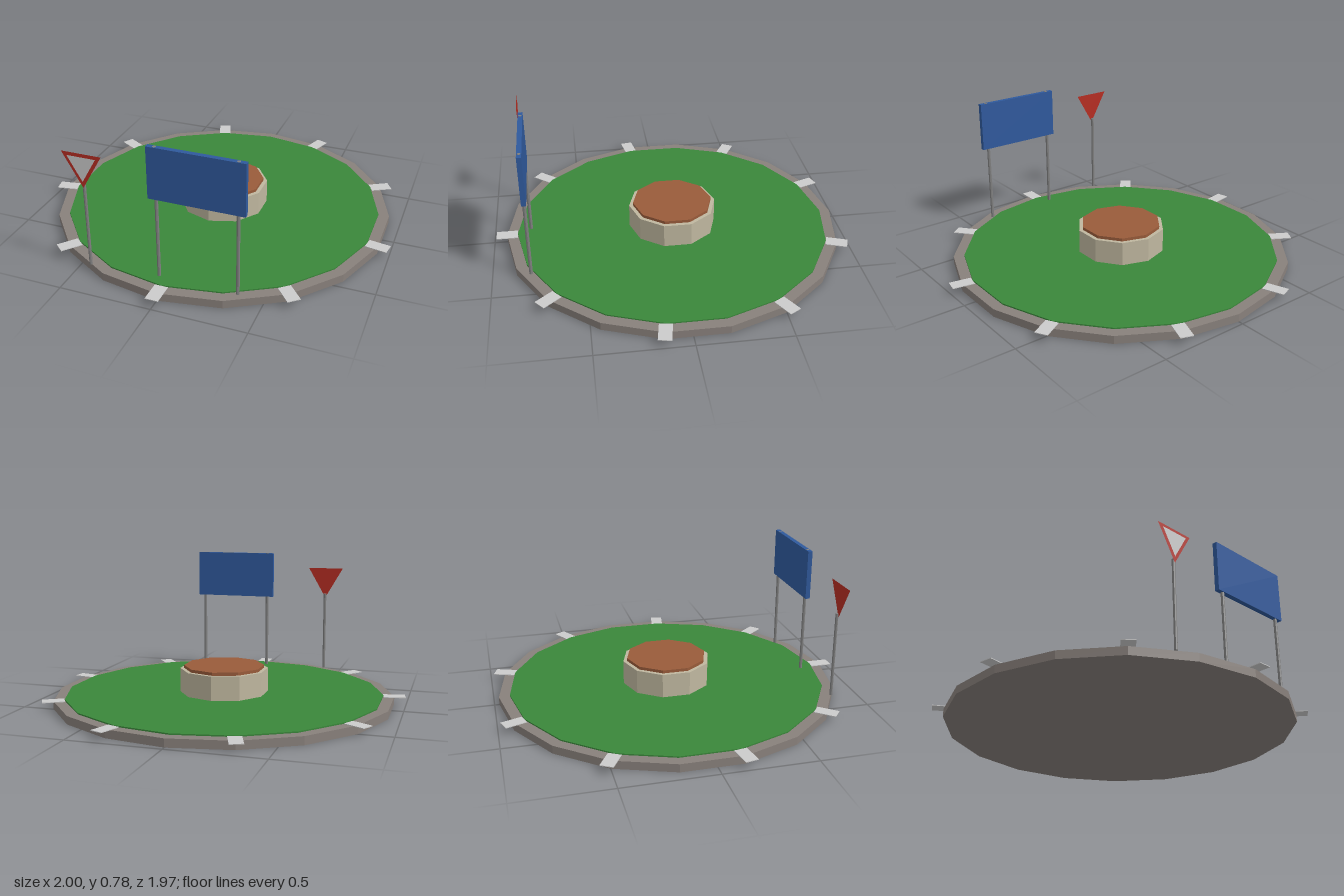
import * as THREE from 'three';

const paint = (name, color, extra = {}) => {
  const m = new THREE.MeshStandardMaterial({ color, flatShading: true, ...extra });
  m.name = name;
  return m;
};

export function createModel() {
  const mats = {
    kerb: paint('kerb stone', 0x88807b),
    grass: paint('grass green', 0x3a873a),
    stone: paint('planter stone', 0xbfb79f),
    soil: paint('soil brown', 0x995b3a),
    white: paint('marking white', 0xcbcbcb),
    metal: paint('post grey', 0x808080),
    blue: paint('board blue', 0x2f599c),
    red: paint('sign red', 0xb52d22, { side: THREE.DoubleSide }),
  };
  const model = new THREE.Group();
  model.name = 'roundabout';
  const CZ = -0.024; // centre of the island

  const add = (name, geometry, material, x, y, z, parent = model) => {
    const mesh = new THREE.Mesh(geometry, material);
    mesh.name = name;
    mesh.position.set(x, y, z);
    parent.add(mesh);
    return mesh;
  };
  // Upright prism between two heights
  const prism = (name, r, sides, y0, y1, material, x, z) =>
    add(name, new THREE.CylinderGeometry(r, r, y1 - y0, sides), material, x, (y0 + y1) / 2, z);

  // Island: kerb disc with a slightly raised lawn
  prism('kerb', 0.95, 18, 0, 0.044, mats.kerb, 0, CZ);
  prism('lawn', 0.89, 18, 0.03, 0.051, mats.grass, 0, CZ);

  // Pale markers set across the kerb
  const markers = new THREE.Group();
  markers.name = 'kerbMarkers';
  markers.position.z = CZ;
  model.add(markers);
  for (let i = 0; i < 9; i++) {
    const a = (i * Math.PI * 2) / 9;
    add('kerbMarker', new THREE.BoxGeometry(0.07, 0.004, 0.12), mats.white,
      Math.sin(a) * 0.95, 0.0465, Math.cos(a) * 0.95, markers).rotation.y = a;
  }

  // Central planter
  prism('planterWall', 0.248, 10, 0.045, 0.185, mats.stone, 0, CZ);
  prism('planterSoil', 0.226, 10, 0.17, 0.202, mats.soil, 0, CZ);

  // Direction board on two posts
  add('directionBoard', new THREE.BoxGeometry(0.5, 0.28, 0.026), mats.blue, 0.165, 0.6375, 0.79);
  for (const side of [-1, 1])
    prism('boardPost', 0.0095, 8, 0.045, 0.7785, mats.metal, 0.165 + side * 0.21, 0.79);

  // Triangular warning sign, point down
  prism('warningPost', 0.0085, 8, 0.045, 0.525, mats.metal, -0.42, 0.815);
  add('warningPlate', new THREE.CircleGeometry(0.125, 3, -Math.PI / 2), mats.red, -0.42, 0.625, 0.825);
  add('warningFace', new THREE.CircleGeometry(0.09, 3, -Math.PI / 2), mats.white, -0.42, 0.625, 0.828);

  return model;
}
